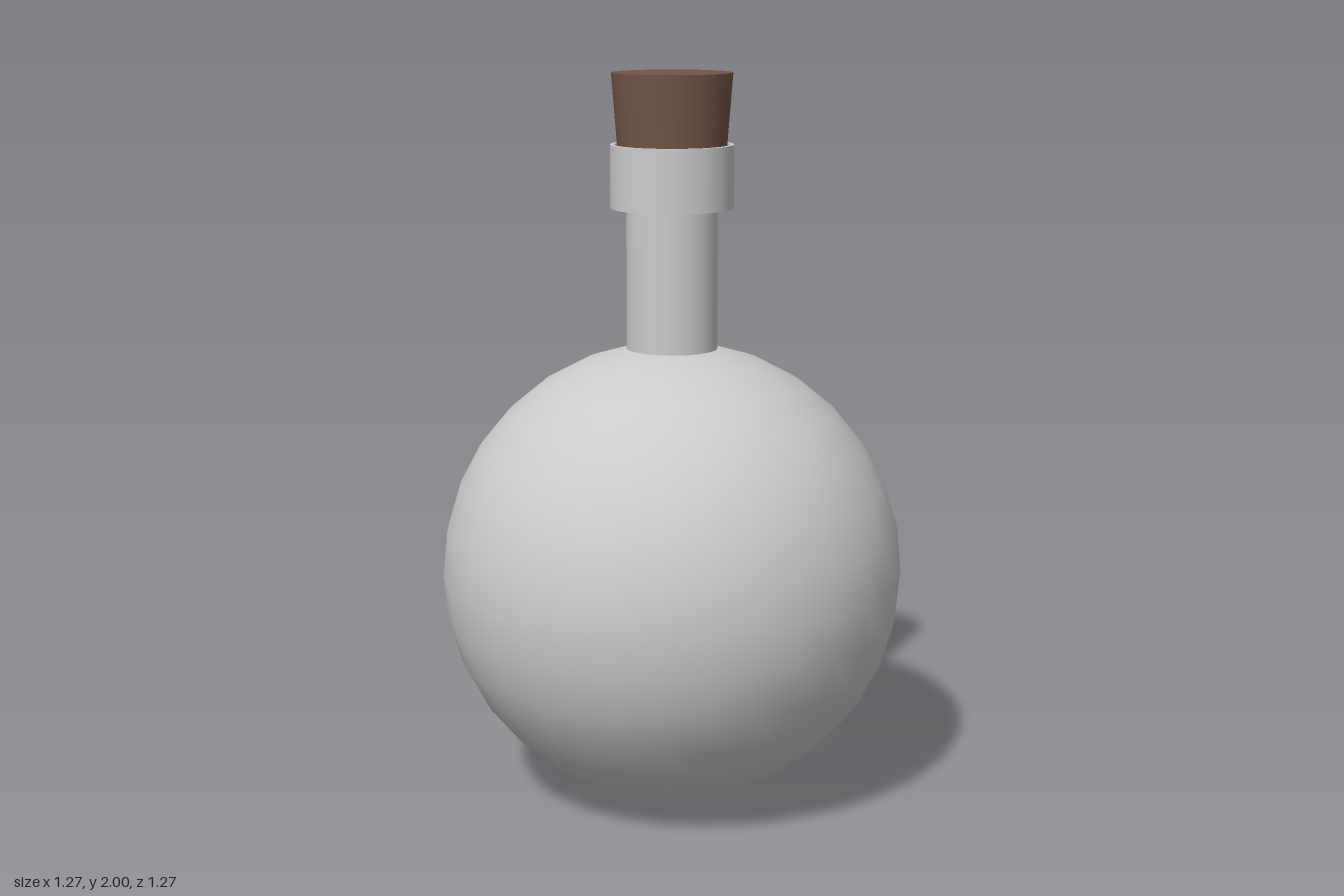
import * as THREE from 'three';

const SEGMENTS = 32;
const R = 0.635;        // bulb radius, also the height of its centre
const WALL = 0.012;     // glass thickness
const NECK_R = 0.124;

export function createModel() {
  const group = new THREE.Group();
  const glass = new THREE.MeshStandardMaterial({ color: 0xcccccc, side: THREE.DoubleSide });
  const corkBrown = new THREE.MeshStandardMaterial({ color: 0x725547 });

  const add = (name, geometry, material, y = 0) => {
    const mesh = new THREE.Mesh(geometry, material);
    mesh.name = name;
    mesh.position.y = y;
    group.add(mesh);
  };
  // Each straight run is lathed alone so the corners between them stay sharp
  const turned = (name, profile) => {
    const part = new THREE.Group();
    part.name = name;
    for (let i = 0; i < profile.length - 1; i++) {
      const run = [profile[i], profile[i + 1]].map(([r, y]) => new THREE.Vector2(r, y));
      part.add(new THREE.Mesh(new THREE.LatheGeometry(run, SEGMENTS), glass));
    }
    group.add(part);
  };

  // Round bulb, open at the top where the neck joins
  const opening = Math.PI / 16;
  const bulb = new THREE.SphereGeometry(R, SEGMENTS, 15, 0, Math.PI * 2, opening, Math.PI - opening);
  add('bulb', bulb, glass, R);

  // Neck tube
  const neckBase = R + R * Math.cos(opening);
  turned('neck', [
    [NECK_R - WALL, 1.64], [NECK_R - WALL, neckBase],
    [NECK_R, neckBase], [NECK_R, 1.64],
  ]);

  // Thick lip around the mouth
  turned('lip', [
    [NECK_R - WALL, 1.64], [0.167, 1.64], [0.167, 1.81],
    [0.155, 1.81], [0.155, 1.66], [NECK_R - WALL, 1.66],
  ]);

  // Tapered stopper seated in the lip
  add('cork', new THREE.CylinderGeometry(0.163, 0.136, 0.34, SEGMENTS), corkBrown, 1.83);

  return group;
}
